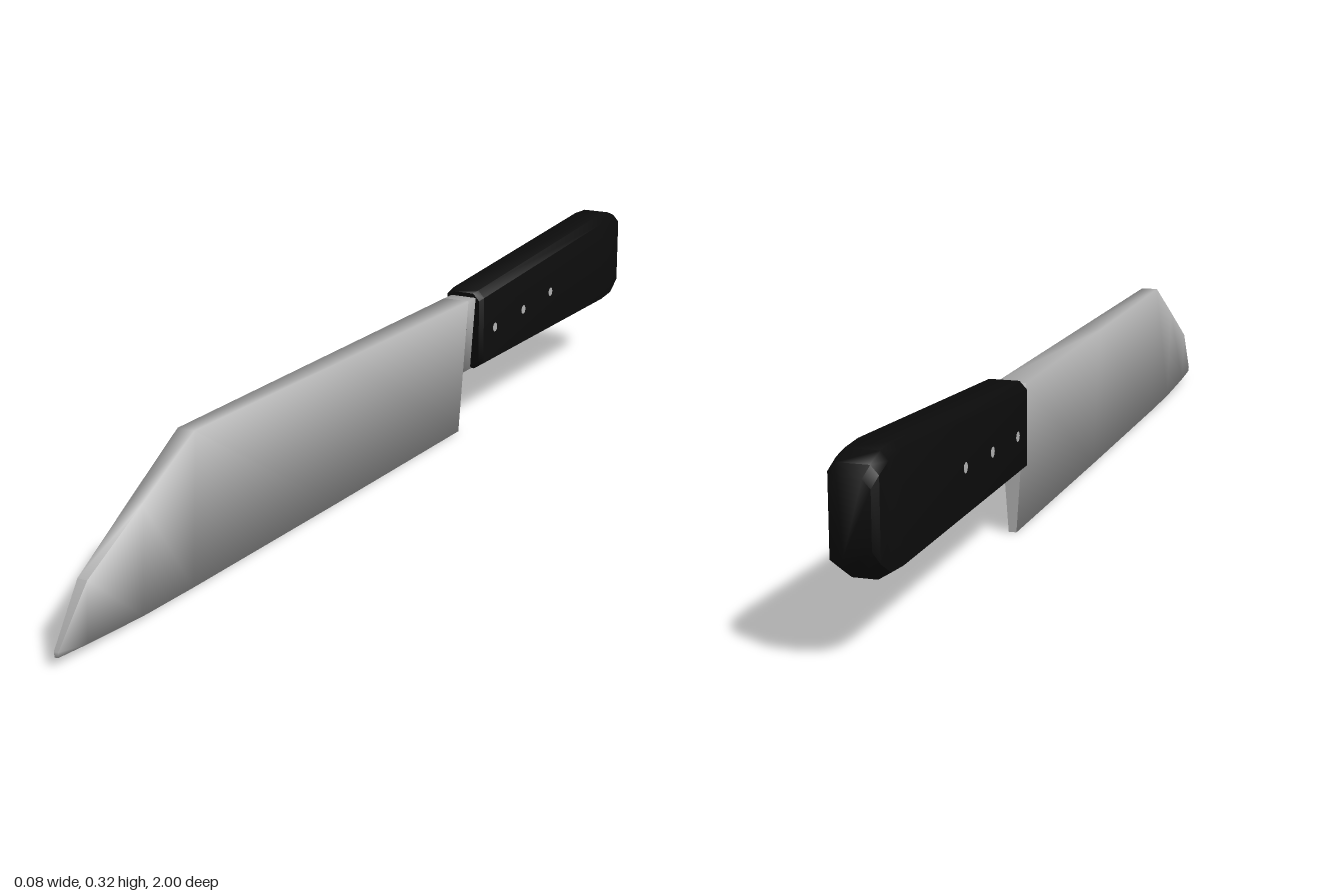
import * as THREE from 'three';
import { toCreasedNormals } from 'three/addons/utils/BufferGeometryUtils.js';

// Skin a list of equal rings (counter-clockwise seen from +z, ordered by rising z)
function loft(rings, crease, capBack, capFront) {
  const n = rings[0].length, pos = [];
  const tri = (a, b, c) => pos.push(...a, ...b, ...c);
  for (let k = 0; k < rings.length - 1; k++) {
    for (let i = 0; i < n; i++) {
      const j = (i + 1) % n, p = rings[k], q = rings[k + 1];
      tri(p[i], p[j], q[j]);
      tri(p[i], q[j], q[i]);
    }
  }
  const first = rings[0], last = rings[rings.length - 1];
  for (let i = 1; i < n - 1; i++) {
    if (capBack) tri(first[0], first[i + 1], first[i]);
    if (capFront) tri(last[0], last[i], last[i + 1]);
  }
  const g = new THREE.BufferGeometry();
  g.setAttribute('position', new THREE.Float32BufferAttribute(pos, 3));
  return toCreasedNormals(g, crease);
}

// Wedge section: thin edge below, thicker spine above
const wedge = ([z, yb, yt, wb, wt]) => [[-wb, yb, z], [wb, yb, z], [wt, yt, z], [-wt, yt, z]];

// Handle section: rectangle with chamfered corners
const grip = ([z, yb, yt, w]) => {
  const half = [[w - 0.02, yb], [w, yb + 0.013], [w, yt - 0.014], [w - 0.013, yt]];
  const mirrored = half.map(([x, y]) => [-x, y]).reverse();
  return [...half, ...mirrored].map(([x, y]) => [x, y, z]);
};

export function createModel() {
  const steel = new THREE.MeshStandardMaterial({ color: 0xb0b0b0 });
  steel.name = 'steel';
  const black = new THREE.MeshStandardMaterial({ color: 0x0b0b0b });
  black.name = 'blackHandle';

  const model = new THREE.Group();
  model.name = 'kitchenKnife';
  const add = (name, geometry, material) => {
    const mesh = new THREE.Mesh(geometry, material);
    mesh.name = name;
    model.add(mesh);
    return mesh;
  };

  // Blade: z, bottom, top, half width at edge, half width at spine
  const stations = [
    [-0.28, 0, 0.267, 0.007, 0.026],
    [0.2, 0, 0.267, 0.007, 0.021],
    [0.65, 0.001, 0.267, 0.006, 0.016],
    [0.79, 0.003, 0.19, 0.006, 0.013],
    [0.93, 0.01, 0.113, 0.005, 0.009],
    [1.0, 0.014, 0.023, 0.003, 0.004],
  ].map(wedge);
  add('blade', loft(stations, 1.7, false, true), steel);

  // Flat heel closing the back of the blade
  const heel = new THREE.Shape([[-0.007, 0], [-0.026, 0.267], [0.026, 0.267], [0.007, 0]]
    .map(([x, y]) => new THREE.Vector2(x, y)));
  const heelMesh = add('heel', new THREE.ShapeGeometry(heel), steel);
  heelMesh.rotation.y = Math.PI;
  heelMesh.position.z = -0.28;

  // Neck running from the blade into the handle
  add('neck', loft([
    [-0.34, 0.122, 0.267, 0.016, 0.027],
    [-0.28, 0.122, 0.267, 0.0157, 0.026],
  ].map(wedge), 1.7, true, false), steel);

  // Handle: z, bottom, top, half width
  add('handle', loft([
    [-1.0, 0.17, 0.288, 0.032],
    [-0.985, 0.148, 0.305, 0.039],
    [-0.95, 0.126, 0.317, 0.04],
    [-0.9, 0.121, 0.319, 0.04],
    [-0.32, 0.121, 0.28, 0.04],
    [-0.31, 0.126, 0.275, 0.034],
  ].map(grip), 0.85, true, true), black);

  // Three small rivets passing through the handle
  [[-0.37, 0.196], [-0.5, 0.202], [-0.63, 0.21]].forEach(([z, y], i) => {
    const rivet = add(`rivet${i + 1}`, new THREE.CylinderGeometry(0.009, 0.009, 0.081, 10), steel);
    rivet.rotation.z = Math.PI / 2;
    rivet.position.set(0, y, z);
  });

  return model;
}
